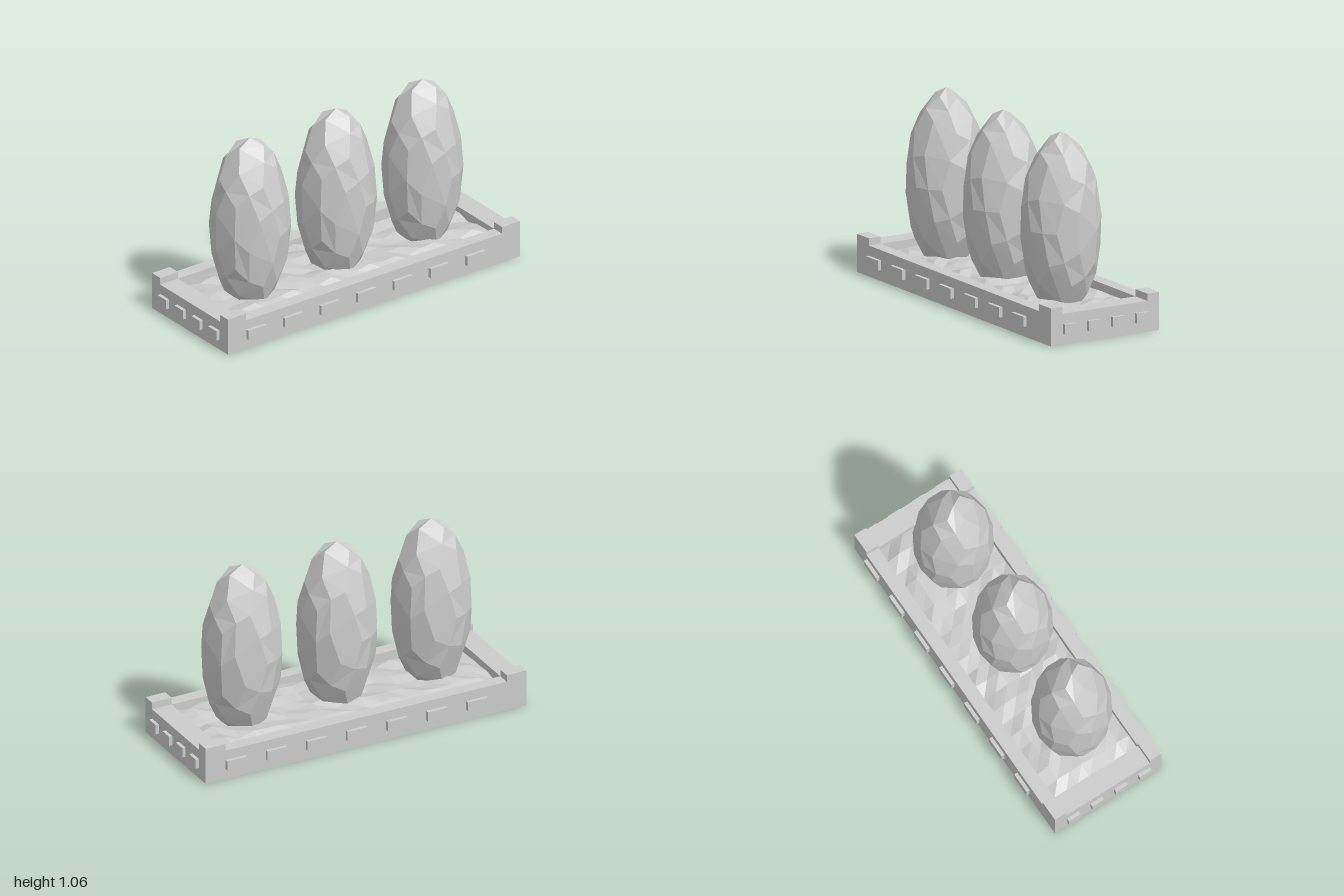
import * as THREE from 'three';

const material = new THREE.MeshStandardMaterial({ color: 0xcccccc, flatShading: true });

const HX = 0.345, HZ = 0.98;      // outer half sizes of the planter
const WX = 0.075, WZ = 0.12;      // wall thicknesses
const WALL = 0.172, POST = 0.212; // wall and corner heights

function box(parent, name, w, h, d, x, y, z) {
  const mesh = new THREE.Mesh(new THREE.BoxGeometry(w, h, d), material);
  mesh.name = name;
  mesh.position.set(x, y, z);
  parent.add(mesh);
  return mesh;
}

function seeded(seed) {
  let s = seed;
  return () => (s = (s * 16807) % 2147483647) / 2147483647;
}

// Lumpy earth, lower along the walls
function soilGeometry() {
  const w = 2 * (HX - WX), d = 2 * (HZ - WZ);
  const geometry = new THREE.PlaneGeometry(w, d, 7, 20);
  geometry.rotateX(-Math.PI / 2);
  const random = seeded(17);
  const p = geometry.attributes.position;
  for (let i = 0; i < p.count; i++) {
    const edge = Math.abs(p.getX(i)) > w / 2 - 0.01 || Math.abs(p.getZ(i)) > d / 2 - 0.01;
    p.setY(i, (edge ? 0.115 : 0.135) + 0.03 * random());
  }
  geometry.computeVertexNormals();
  return geometry;
}

export function createModel() {
  const model = new THREE.Group();
  model.name = 'planterWithShrubs';

  // Planter: floor, four walls and raised corners
  const planter = new THREE.Group();
  planter.name = 'planter';
  model.add(planter);
  box(planter, 'floor', 2 * (HX - WX), 0.06, 2 * (HZ - WZ), 0, 0.03, 0);
  for (const s of [-1, 1]) {
    box(planter, 'sideWall', WX, WALL, 2 * (HZ - WZ), s * (HX - WX / 2), WALL / 2, 0);
    box(planter, 'endWall', 2 * (HX - WX), WALL, WZ, 0, WALL / 2, s * (HZ - WZ / 2));
    for (const t of [-1, 1]) {
      box(planter, 'cornerPost', WX, POST, WZ, s * (HX - WX / 2), POST / 2, t * (HZ - WZ / 2));
    }
  }

  // Raised blocks on the outside of the walls
  const blocks = new THREE.Group();
  blocks.name = 'wallBlocks';
  model.add(blocks);
  for (const s of [-1, 1]) {
    for (let i = 0; i < 7; i++) {
      box(blocks, 'sideBlock', 0.04, 0.056, 0.122, s * HX, 0.088, s * (0.797 - i * 0.245));
    }
    for (let i = 0; i < 4; i++) {
      box(blocks, 'endBlock', 0.076, 0.056, 0.04, (i - 1.5) * 0.153, 0.088, s * HZ);
    }
  }

  const soil = new THREE.Mesh(soilGeometry(), material);
  soil.name = 'soil';
  model.add(soil);

  // Three tall faceted shrubs
  const shrubGeometry = new THREE.DodecahedronGeometry(1, 1);
  shrubGeometry.rotateY(0.55);
  shrubGeometry.scale(0.222, 0.52, 0.222);
  for (const z of [0.592, 0.015, -0.565]) {
    const shrub = new THREE.Mesh(shrubGeometry, material);
    shrub.name = 'shrub';
    shrub.position.set(0.02, 0.545, z);
    model.add(shrub);
  }

  return model;
}
